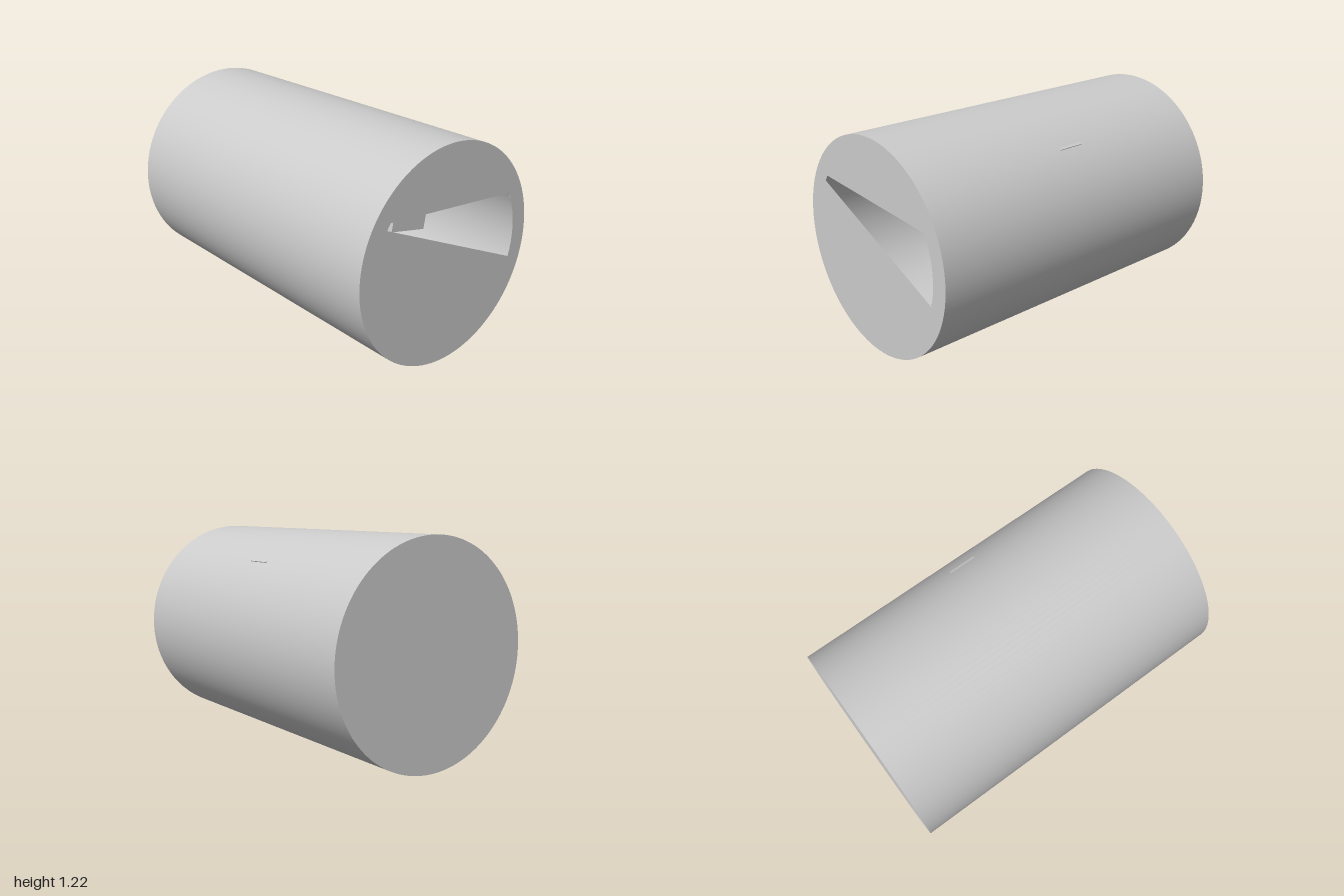
import * as THREE from 'three';

const R = 0.6075, INNER = 0.51, deg = Math.PI / 180;

export function createModel() {
  const model = new THREE.Group();
  const material = new THREE.MeshStandardMaterial({ color: 0xcccccc });
  const thin = new THREE.MeshStandardMaterial({ color: 0xcccccc, side: THREE.DoubleSide });

  const add = (name, geometry, mat, x, y, z) => {
    const mesh = new THREE.Mesh(geometry, mat);
    mesh.name = name;
    mesh.position.set(x, y, z);
    model.add(mesh);
    return mesh;
  };

  // Outer shell, hollow lining and closed back
  const tube = (r, length) => new THREE.CylinderGeometry(r, r, length, 128, 1, true).rotateX(Math.PI / 2);
  add('outerShell', tube(R, 2), material, 0, R, 0);
  add('innerLining', tube(INNER, 1.9), thin, 0, R, 0.05);
  add('backPlate', new THREE.CircleGeometry(R, 128).rotateY(Math.PI), material, 0, R, -1);
  add('innerBackWall', new THREE.CircleGeometry(INNER, 128), material, 0, R, -0.9);

  // Front plate with a wedge opening between two chords of the lining
  const face = new THREE.Shape().absarc(0, 0, R, 0, Math.PI * 2, false);
  const opening = new THREE.Path();
  opening.absarc(0, 0, INNER, -16.9 * deg, 27.1 * deg, false);
  opening.absarc(0, 0, INNER, 144.6 * deg, 149.1 * deg, false);
  opening.closePath();
  face.holes.push(opening);
  add('frontPlate', new THREE.ShapeGeometry(face, 64), thin, 0, R, 1);

  // Loose blocks inside, each set by one corner, its tilt and signed sides
  const block = (name, x, y, tilt, w, h, z, depth = 0.16) => {
    const g = new THREE.BoxGeometry(Math.abs(w), Math.abs(h), depth).translate(w / 2, h / 2, 0);
    add(name, g, material, x, y, z).rotation.z = tilt * deg;
  };
  block('upperBlock', -0.11, 0.85, -13, 0.31, 0.15, 0.3);
  block('lowerRightBlock', 0.25, 0.715, -11, 0.27, -0.25, 0.3);
  block('rightBlock', 0.255, 0.645, 22.6, 0.25, 0.22, 0.14);
  block('protrudingBlock', 0.25, 0.73, -29.2, -0.2, 0.362, -0.02);
  block('lowerLeftBlock', -0.21, 0.8, 0, -0.2, -0.25, -0.2);
  block('middleBlock', -0.04, 0.835, 23.6, -0.3, -0.25, -0.4);
  block('upperLeftBlock', -0.25, 0.775, 22, -0.2, 0.2, -0.6);

  return model;
}
